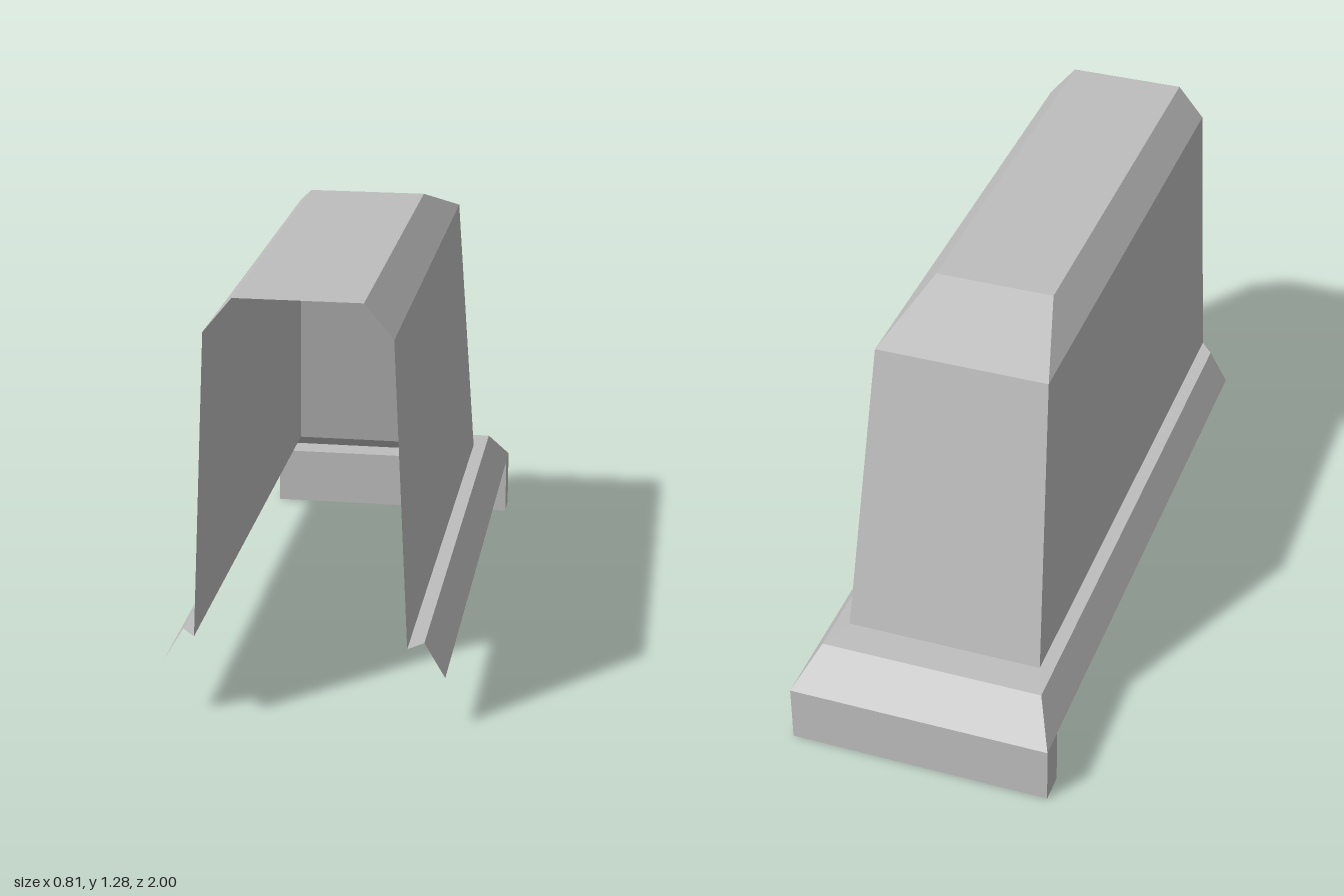
import * as THREE from 'three';

// U-shaped section, open at the front: left front, left back, right back, right front
const ring = ([w, y, back, front]) => [
  [w, y, front], [w, y, back], [-w, y, back], [-w, y, front],
];

export function createModel() {
  const group = new THREE.Group();
  const grey = new THREE.MeshStandardMaterial({ color: 0xbebebe, side: THREE.DoubleSide });
  grey.name = 'grey';

  const addPart = (name, quads) => {
    const points = quads.flatMap(([a, b, c, d]) => [a, b, c, a, c, d]).flat();
    const geometry = new THREE.BufferGeometry();
    geometry.setAttribute('position', new THREE.Float32BufferAttribute(points, 3));
    geometry.computeVertexNormals();
    const mesh = new THREE.Mesh(geometry, grey);
    mesh.name = name;
    group.add(mesh);
  };

  // Three faces (left, back, right) joining two sections
  const band = (low, high) => {
    const a = ring(low), b = ring(high);
    return [0, 1, 2].map((i) => [a[i], a[i + 1], b[i + 1], b[i]]);
  };

  // Sections from the bottom up: half width, height, back z, front z
  const skirt = [0.405, 0.185, -1, 0.95];
  const ledge = [0.345, 0.288, -0.88, 0.95];
  const foot = [0.303, 0.288, -0.77, 1];
  const eaves = [0.262, 1.183, -0.58, 1];
  const roof = [0.18, 1.282, -0.295, 1];

  addPart('flaredSkirt', band(skirt, ledge));
  addPart('ledge', band(ledge, foot));
  addPart('walls', band(foot, eaves));
  addPart('roofChamfer', band(eaves, roof));
  addPart('roof', [ring(roof)]);

  // Solid bar under the back of the skirt
  const bar = new THREE.Mesh(new THREE.BoxGeometry(0.81, 0.185, 0.088), grey);
  bar.position.set(0, 0.0925, -0.956);
  bar.name = 'backBar';
  group.add(bar);

  return group;
}
